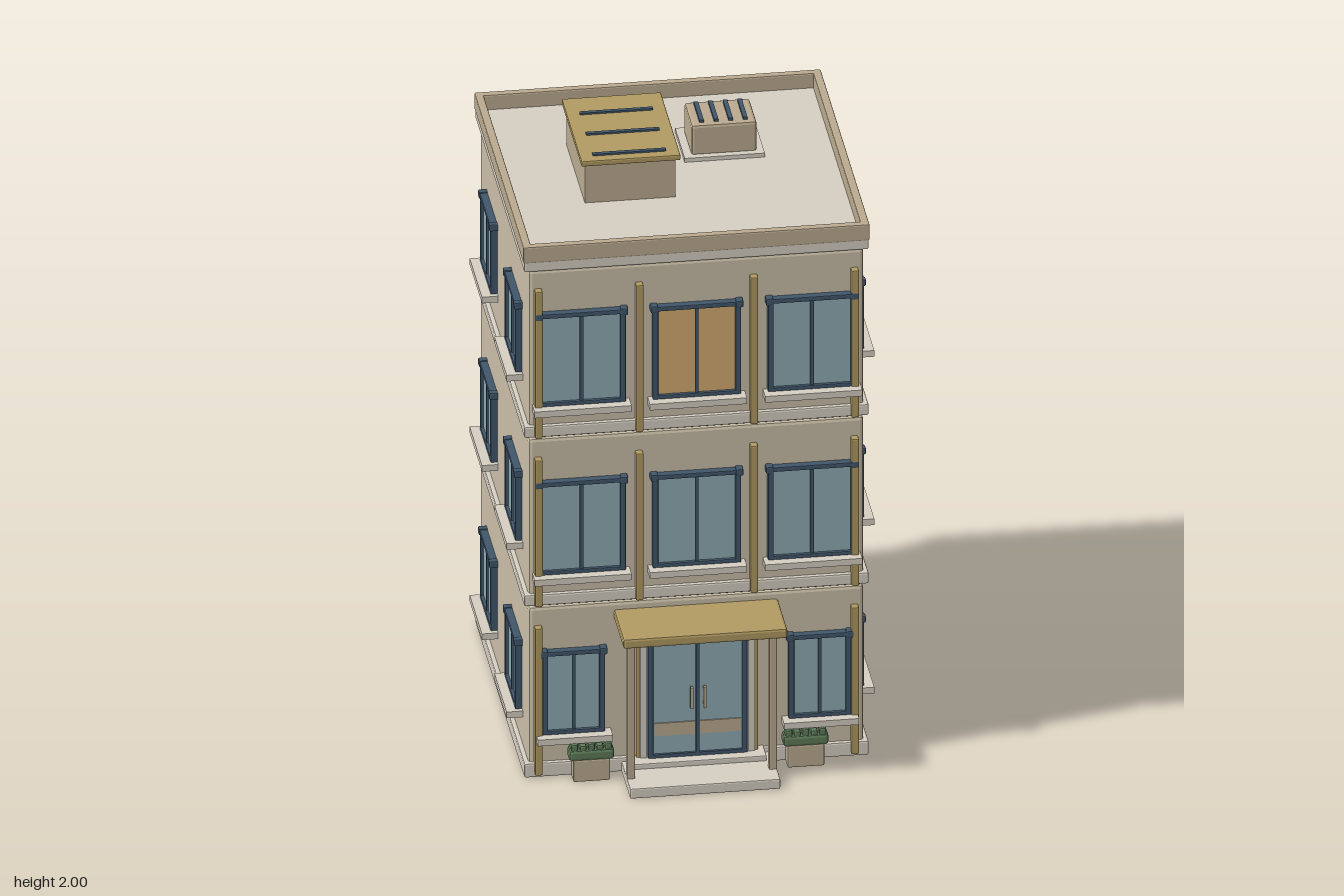
import * as THREE from 'three';
import { RoundedBoxGeometry } from 'three/addons/geometries/RoundedBoxGeometry.js';

const paint = (color) => new THREE.MeshStandardMaterial({ color, flatShading: true });
const M = {
  wall: paint(0xc8bca6), trim: paint(0xd4cdc1), tan: paint(0xb9a98e), gold: paint(0xb09961),
  frame: paint(0x40566a), glass: paint(0x8ea9b1), amber: paint(0xd0aa70), leaf: paint(0x5d7a58),
};

// Box given by its extents on each axis; bevel softens the edges
function box(parent, name, mat, [x0, x1], [y0, y1], [z0, z1], bevel = 0) {
  const s = [x1 - x0, y1 - y0, z1 - z0];
  const geo = bevel ? new RoundedBoxGeometry(...s, 1, bevel) : new THREE.BoxGeometry(...s);
  const mesh = new THREE.Mesh(geo, mat);
  mesh.name = name;
  mesh.position.set((x0 + x1) / 2, (y0 + y1) / 2, (z0 + z1) / 2);
  parent.add(mesh);
  return mesh;
}

function group(parent, name, x = 0, y = 0, z = 0, turn = 0) {
  const g = new THREE.Group();
  g.name = name;
  g.position.set(x, y, z);
  g.rotation.y = turn;
  parent.add(g);
  return g;
}

const mid = (c, w) => [c - w / 2, c + w / 2];

// Two-pane window with its bottom centre at the origin, facing +z
function makeWindow(parent, name, pos, turn, w, h, sillW, pane = M.glass) {
  const g = group(parent, name, ...pos, turn);
  box(g, 'glass', pane, mid(0, w - 0.02), [0.01, h - 0.01], [-0.01, 0.012]);
  for (const s of [-1, 1]) {
    box(g, 'frameSide', M.frame, mid(s * (w / 2 - 0.009), 0.018), [0, h], [-0.01, 0.022], 0.003);
    box(g, 'frameCorner', M.frame, mid(s * (w / 2 - 0.005), 0.024), [h - 0.02, h + 0.004], [-0.01, 0.027], 0.004);
  }
  box(g, 'frameTop', M.frame, mid(0, w), [h - 0.016, h], [-0.01, 0.024], 0.003);
  box(g, 'frameBottom', M.frame, mid(0, w), [0, 0.014], [-0.01, 0.022], 0.003);
  box(g, 'mullion', M.frame, mid(0, 0.011), [0, h], [-0.01, 0.018]);
  box(g, 'sill', M.trim, mid(0, sillW), [-0.021, 0.001], [-0.01, 0.052]);
  return g;
}

const FRONT = 0.442, BACK = -0.602, SIDE = 0.535;

function makeStorey(parent, i) {
  const y = i * 0.6;
  const g = group(parent, `storey${i + 1}`, 0, y);
  box(g, 'walls', M.wall, [-SIDE, SIDE], [i ? 0 : 0.004, 0.6], [BACK, FRONT], 0.012);
  box(g, 'floorBand', M.trim, [-0.55, 0.55], [i ? 0.01 : 0, 0.05], [-0.615, 0.455], 0.006);

  // Front windows
  if (i === 0) {
    for (const s of [-1, 1]) makeWindow(g, 'frontWindow', [s * 0.393, 0.152, FRONT], 0, 0.2, 0.296, 0.24);
  } else {
    for (const s of [-1, 0, 1]) {
      const lit = i === 2 && s === 0;
      makeWindow(g, 'frontWindow', [s * 0.368, 0.122, FRONT], 0, 0.282, 0.33, 0.31, lit ? M.amber : M.glass);
    }
  }
  // Side and back windows
  for (const s of [-1, 1]) {
    for (const z of [0.186, -0.353])
      makeWindow(g, 'sideWindow', [s * SIDE, 0.168, z], s * Math.PI / 2, 0.236, 0.247, 0.268);
    const lit = i === 1 && s === 1;
    makeWindow(g, 'backWindow', [s * 0.301, 0.158, BACK], Math.PI, 0.284, 0.27, 0.318, lit ? M.amber : M.glass);
  }
  // Vertical fins and drainpipe
  for (const x of [-0.505, -0.183, 0.183, 0.505])
    box(g, 'facadeFin', M.gold, mid(x, 0.024), [0.012, 0.535], [0.43, 0.468], 0.004);
  box(g, 'drainpipe', M.tan, [0.53, 0.567], [0.012, 0.53], [-0.53, -0.505]);
}

function makeEntrance(parent) {
  const g = group(parent, 'entrance');
  box(g, 'lowerStep', M.trim, mid(0, 0.48), [0, 0.036], [0.43, 0.645], 0.005);
  box(g, 'upperStep', M.trim, mid(0, 0.43), [0.03, 0.054], [0.43, 0.515], 0.004);
  box(g, 'canopy', M.gold, [-0.262, 0.262], [0.537, 0.572], [0.43, 0.65], 0.008);
  box(g, 'canopySoffit', M.tan, mid(0, 0.47), [0.525, 0.54], [0.43, 0.475]);
  for (const s of [-1, 1]) {
    box(g, 'canopyColumn', M.tan, mid(s * 0.227, 0.026), [0.03, 0.54], [0.548, 0.576], 0.004);
    box(g, 'doorPilaster', M.trim, mid(s * 0.172, 0.022), [0.04, 0.53], [0.43, 0.475]);
  }
  box(g, 'doorLintel', M.tan, mid(0, 0.366), [0.513, 0.53], [0.43, 0.475]);
  // Double glass door
  const d = group(g, 'doubleDoor');
  box(d, 'doorTop', M.frame, mid(0, 0.316), [0.495, 0.513], [0.43, 0.482], 0.003);
  box(d, 'doorThreshold', M.frame, mid(0, 0.316), [0.054, 0.066], [0.43, 0.482]);
  box(d, 'doorMullion', M.frame, mid(0, 0.012), [0.054, 0.51], [0.43, 0.481]);
  for (const s of [-1, 1]) {
    box(d, 'doorJamb', M.frame, mid(s * 0.15, 0.016), [0.054, 0.513], [0.43, 0.482], 0.003);
    box(d, 'doorGlass', M.glass, mid(s * 0.075, 0.138), [0.06, 0.5], [0.43, 0.474]);
    box(d, 'doorBand', M.tan, mid(s * 0.073, 0.13), [0.13, 0.175], [0.47, 0.478]);
    box(d, 'doorHandle', M.tan, mid(s * 0.021, 0.009), [0.23, 0.305], [0.488, 0.5]);
    for (const y of [0.24, 0.295]) box(d, 'handleMount', M.tan, mid(s * 0.021, 0.007), mid(y, 0.007), [0.47, 0.49]);
  }
}

function makePlanter(parent, x) {
  const g = group(parent, 'planter', x, 0, 0.482);
  box(g, 'planterBox', M.tan, mid(0, 0.118), [0, 0.078], mid(0, 0.05), 0.005);
  box(g, 'hedge', M.leaf, mid(0, 0.145), [0.074, 0.112], mid(0, 0.052), 0.01);
  for (let k = -2; k <= 2; k++)
    box(g, 'hedgeTuft', M.leaf, mid(k * 0.027, 0.022), [0.08, k % 2 ? 0.126 : 0.132], mid(0, 0.044), 0.006);
}

function makeBackDoor(parent) {
  const g = group(parent, 'backDoor', 0.002, 0, BACK, Math.PI);
  box(g, 'doorPanel', M.tan, mid(0, 0.13), [0.02, 0.4], [-0.01, 0.016]);
  for (const s of [-1, 1]) box(g, 'doorJamb', M.frame, mid(s * 0.07, 0.012), [0.02, 0.412], [-0.01, 0.022]);
  box(g, 'doorHead', M.frame, mid(0, 0.152), [0.4, 0.415], [-0.01, 0.022]);
  box(g, 'doorKnob', M.frame, mid(0.045, 0.012), mid(0.2, 0.012), [0.01, 0.026]);
  // Louvres over the lower corner of the neighbouring window
  for (let k = 0; k < 3; k++)
    box(parent, 'ventLouvre', M.frame, mid(0.228, 0.145), mid(0.195 + k * 0.04, 0.02), [-0.634, -0.61]);
}

function makeRoof(parent) {
  const g = group(parent, 'roof');
  box(g, 'roofSlab', M.trim, [-0.55, 0.55], [1.8, 1.838], [-0.616, 0.452], 0.005);
  // Parapet
  const t = 0.027, x = 0.553, z0 = -0.62, z1 = 0.454, h = [1.832, 1.89];
  for (const s of [-1, 1]) box(g, 'parapetSide', M.tan, mid(s * (x - t / 2), t), h, [z0, z1], 0.005);
  box(g, 'parapetFront', M.tan, [-x + 0.005, x - 0.005], h, [z1 - t, z1], 0.005);
  box(g, 'parapetBack', M.tan, [-x + 0.005, x - 0.005], h, [z0, z0 + t], 0.005);
  // Stair housing with battens on its lid
  const s = group(g, 'stairHousing');
  box(s, 'housingWalls', M.tan, [-0.302, -0.012], [1.83, 1.98], [-0.325, 0.08]);
  box(s, 'housingLid', M.gold, [-0.315, 0.002], [1.974, 1.994], [-0.34, 0.095], 0.005);
  for (const z of [-0.227, -0.086, 0.056]) box(s, 'lidBatten', M.frame, [-0.274, -0.04], [1.99, 2], mid(z, 0.014));
  // Cooling unit
  const c = group(g, 'coolingUnit');
  box(c, 'unitPad', M.trim, [0.05, 0.306], [1.834, 1.852], [-0.358, -0.148]);
  box(c, 'unitCasing', M.tan, [0.075, 0.284], [1.845, 1.955], [-0.335, -0.17], 0.01);
  for (let k = 0; k < 4; k++)
    box(c, 'unitSlat', M.frame, mid(0.11 + k * 0.0465, 0.014), [1.95, 1.964], [-0.315, -0.188]);
}

export function createModel() {
  const model = new THREE.Group();
  model.name = 'building';
  for (let i = 0; i < 3; i++) makeStorey(model, i);
  makeEntrance(model);
  makePlanter(model, -0.342);
  makePlanter(model, 0.342);
  makeBackDoor(model);
  makeRoof(model);
  return model;
}
